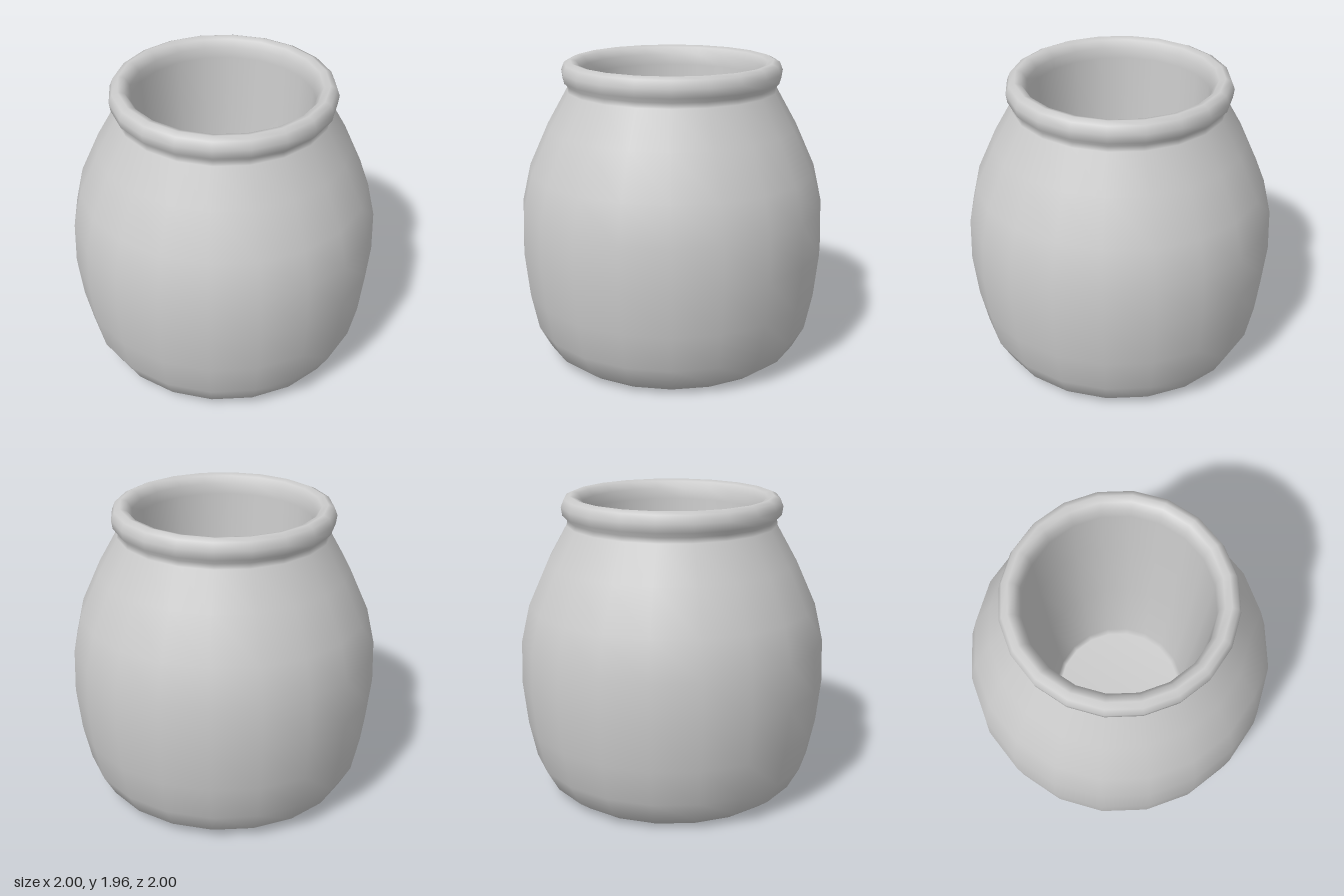
import * as THREE from 'three';

const SIDES = 20;
const TURN = THREE.MathUtils.degToRad(-4.3);

export function createModel() {
  const group = new THREE.Group();
  group.name = 'jar';

  // One continuous profile: base, belly, rolled rim, inner wall, inner floor
  const base = [[0, 0], [0.72, 0], [0.765, 0.005]];
  const belly = [
    [0.845, 0.065], [0.923, 0.21], [0.973, 0.45], [1.003, 0.74],
    [0.993, 1.02], [0.937, 1.26], [0.81, 1.54], [0.68, 1.77],
  ];
  const rim = [
    [0.675, 1.805], [0.705, 1.835], [0.713, 1.89], [0.693, 1.94],
    [0.655, 1.957], [0.615, 1.945], [0.585, 1.9], [0.578, 1.83],
  ];
  const inside = [[0.56, 1.45], [0.52, 0.85], [0.465, 0.24], [0.44, 0.2], [0, 0.2]];

  const profile = [...base, ...belly, ...rim, ...inside].map(([r, y]) => new THREE.Vector2(r, y));
  const jar = new THREE.Mesh(
    new THREE.LatheGeometry(profile, SIDES, TURN),
    new THREE.MeshStandardMaterial({ color: 0xcccccc })
  );
  jar.name = 'jarBody';
  group.add(jar);
  return group;
}
